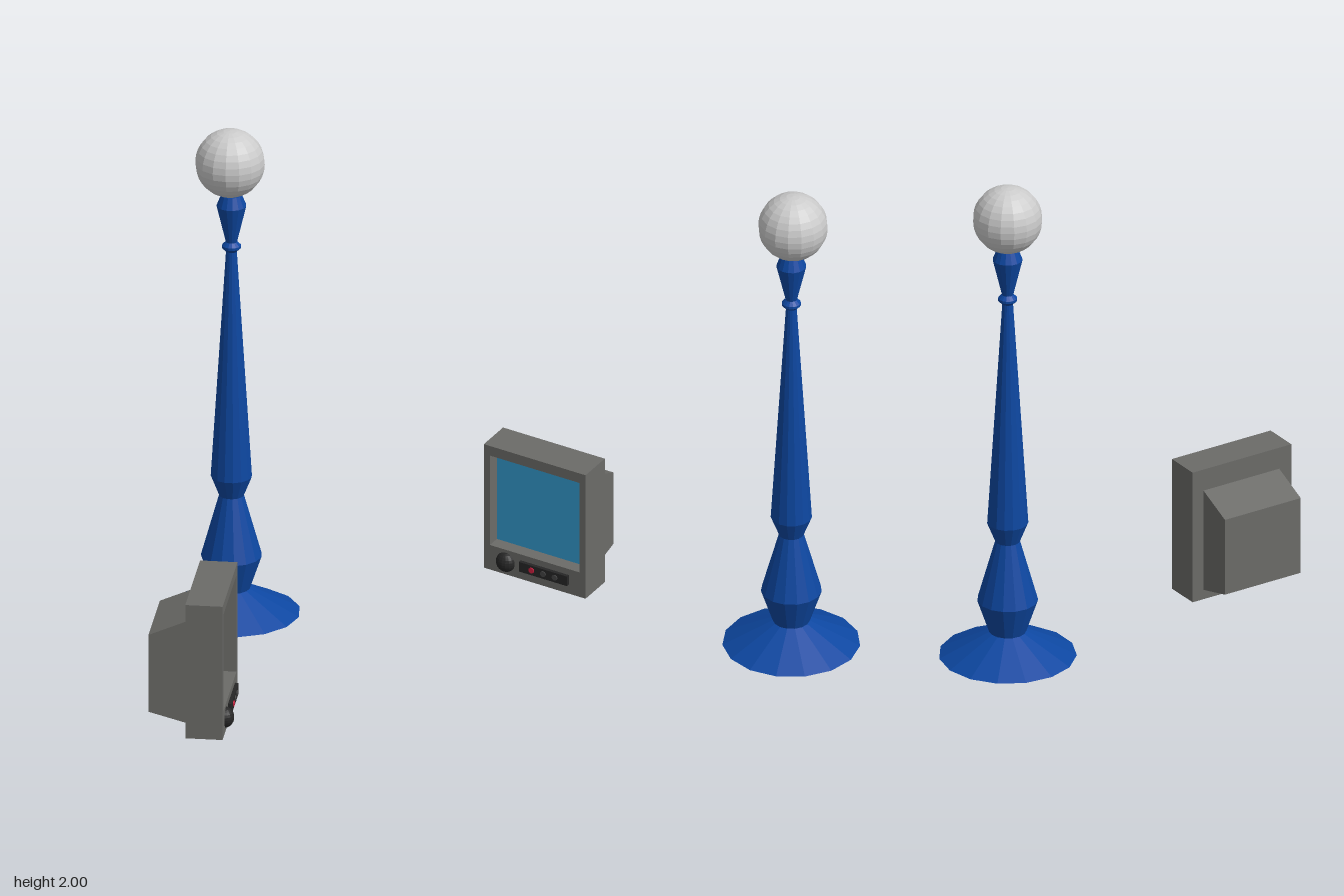
import * as THREE from 'three';

const mat = (color) => new THREE.MeshStandardMaterial({ color, flatShading: true });

function add(parent, name, geometry, material, x = 0, y = 0, z = 0) {
  const mesh = new THREE.Mesh(geometry, material);
  mesh.name = name;
  mesh.position.set(x, y, z);
  parent.add(mesh);
  return mesh;
}

function createLamp() {
  const lamp = new THREE.Group();
  lamp.name = 'lampPost';
  lamp.position.set(0, 0, -0.518);

  // Turned post: foot, lower bulge, long taper, collar and cup
  const profile = [
    [0, 0], [0.267, 0], [0.072, 0.1], [0.118, 0.235], [0.048, 0.485], [0.08, 0.565],
    [0.021, 1.5], [0.037, 1.515], [0.037, 1.525], [0.022, 1.54],
    [0.058, 1.69], [0.04, 1.735], [0, 1.735],
  ].map(([r, y]) => new THREE.Vector2(r, y));
  add(lamp, 'post', new THREE.LatheGeometry(profile, 15, Math.PI), mat(0x0d47a1));

  // Globe on top
  add(lamp, 'globe', new THREE.SphereGeometry(0.135, 16, 16), mat(0xcccccc), -0.006, 1.865, -0.004);
  return lamp;
}

function createMonitor() {
  const monitor = new THREE.Group();
  monitor.name = 'monitor';
  monitor.position.z = 0.555;
  const grey = mat(0x6b6b68);
  const dark = mat(0x262626);

  // Tapered rear housing
  const side = new THREE.Shape([
    [-0.165, 0.08], [-0.015, 0.04], [-0.015, 0.465], [-0.165, 0.4],
  ].map(([x, y]) => new THREE.Vector2(x, y)));
  add(monitor, 'rearHousing',
    new THREE.ExtrudeGeometry(side, { depth: 0.35, bevelEnabled: false }), grey, 0, 0, -0.178);

  // Front parts are built facing +z, then turned to face +x
  const front = new THREE.Group();
  front.name = 'monitorFront';
  front.rotation.y = Math.PI / 2;
  monitor.add(front);

  add(front, 'case', new THREE.BoxGeometry(0.456, 0.555, 0.09), grey, 0, 0.2775, 0.03);

  // Frame around the recessed screen
  const rect = (Type, x0, y0, x1, y1) => new Type([
    new THREE.Vector2(x0, y0), new THREE.Vector2(x1, y0),
    new THREE.Vector2(x1, y1), new THREE.Vector2(x0, y1),
  ]);
  const bezel = rect(THREE.Shape, -0.228, 0, 0.228, 0.555);
  bezel.holes.push(rect(THREE.Path, -0.201, 0.11, 0.201, 0.512));
  add(front, 'bezel',
    new THREE.ExtrudeGeometry(bezel, { depth: 0.055, bevelEnabled: false }), grey, 0, 0, 0.075);
  add(front, 'screen', new THREE.PlaneGeometry(0.402, 0.402), mat(0x3399cc), 0, 0.311, 0.077);

  // Rounded knob
  const knob = add(front, 'knob', new THREE.SphereGeometry(0.041, 16, 12), dark, -0.13, 0.056, 0.128);
  knob.scale.z = 0.85;

  // Control strip with three buttons
  add(front, 'controlStrip', new THREE.BoxGeometry(0.216, 0.043, 0.014), dark, 0.045, 0.062, 0.137);
  [0xd02040, 0x444444, 0x444444].forEach((color, i) => {
    const x = -0.006 + i * 0.052;
    const button = add(front, 'button', new THREE.CylinderGeometry(0.012, 0.012, 0.006, 12),
      mat(color), x, 0.063, 0.145);
    button.rotation.x = Math.PI / 2;
  });
  return monitor;
}

export function createModel() {
  const model = new THREE.Group();
  model.name = 'lampAndMonitor';
  model.add(createLamp(), createMonitor());
  return model;
}
